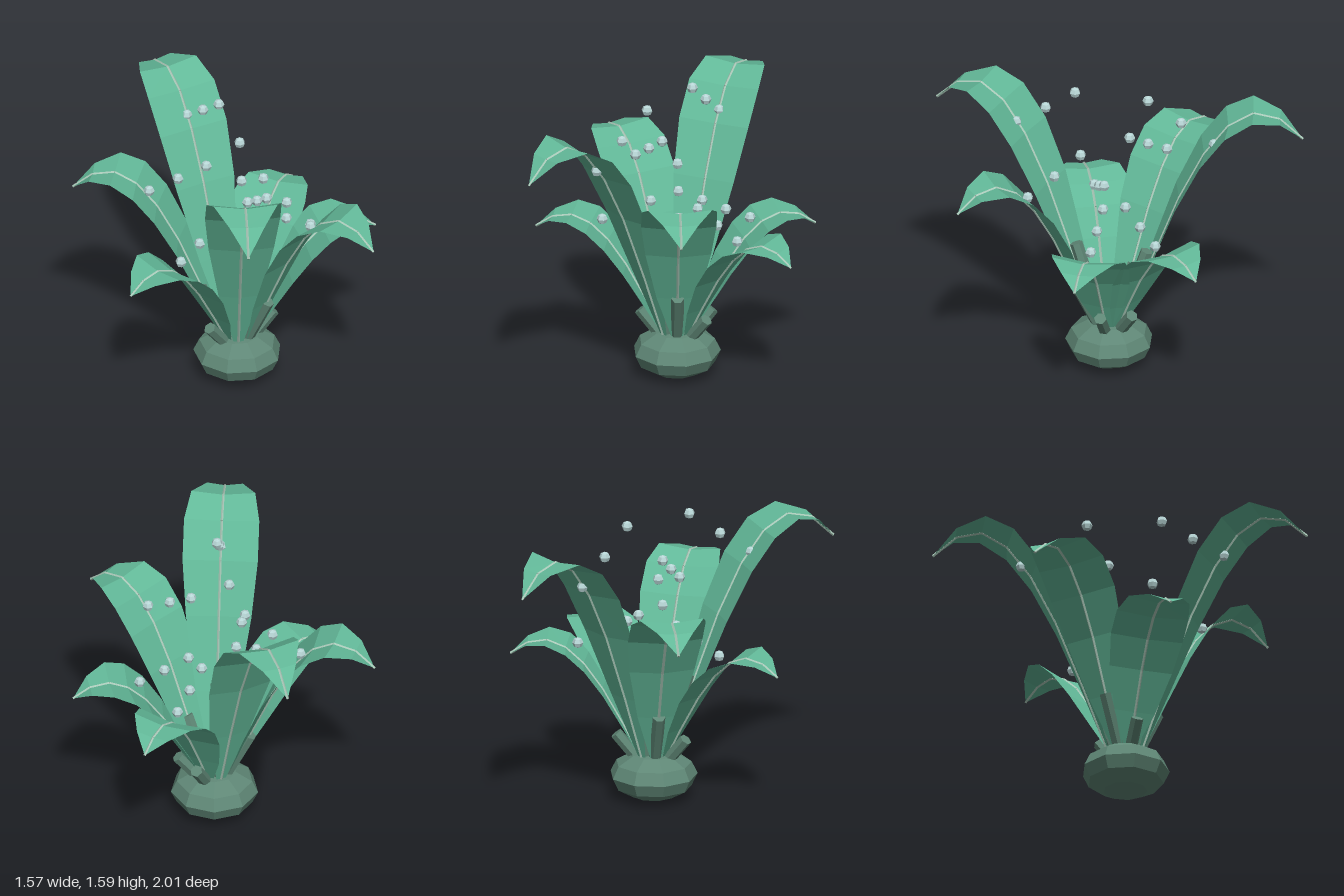
import * as THREE from 'three';

const flat = (name, color, side = THREE.FrontSide) => {
  const m = new THREE.MeshStandardMaterial({ color, side, flatShading: true });
  m.name = name;
  return m;
};

// Leaf rows: share of reach, share of height, half width
const ROWS = [
  [0.075, 0, 0.015], [0.215, 0.31, 0.112], [0.36, 0.605, 0.174], [0.49, 0.81, 0.2],
  [0.615, 0.94, 0.2], [0.745, 1, 0.17], [0.88, 0.975, 0.095], [1, 0.885, 0],
];

// Three leaf sizes, repeated around the bulb
const SIZES = [
  { reach: 0.76, top: 0.865, stub: 0.357, beads: [[0.14, 0.98], [0.27, 0.915], [0.402, 0.855]] },
  { reach: 0.885, top: 1.18, stub: 0.51, beads: [[0.168, 1.27], [0.32, 1.175], [0.475, 1.083]] },
  { reach: 1.026, top: 1.492, stub: 0.665, beads: [[0.205, 1.56], [0.38, 1.43], [0.555, 1.305]] },
];
const BASE_Y = 0.2;

function add(parent, name, geometry, material) {
  const mesh = new THREE.Mesh(geometry, material);
  mesh.name = name;
  parent.add(mesh);
  return mesh;
}

// Blade folded along its midrib, with both edges raised a little
function bladeGeometry(path) {
  const pos = [], index = [];
  path.forEach((p, i) => {
    const a = path[Math.max(i - 1, 0)], b = path[Math.min(i + 1, path.length - 1)];
    const t = b.clone().sub(a).normalize();
    const w = ROWS[i][2], lift = w * 0.12;
    const ex = p.x - t.y * lift, ey = p.y + t.x * lift;
    pos.push(ex, ey, -w, p.x, p.y, 0, ex, ey, w);
    if (i === path.length - 1) return;
    for (const k of [3 * i, 3 * i + 1]) index.push(k, k + 1, k + 4, k, k + 4, k + 3);
  });
  const g = new THREE.BufferGeometry();
  g.setAttribute('position', new THREE.Float32BufferAttribute(pos, 3));
  g.setIndex(index);
  g.computeVertexNormals();
  return g;
}

// Straight rod between two points
function rod(parent, name, from, to, radius, sides, material) {
  const d = to.clone().sub(from);
  const mesh = add(parent, name, new THREE.CylinderGeometry(radius, radius, d.length(), sides), material);
  mesh.position.copy(from).addScaledVector(d, 0.5);
  mesh.quaternion.setFromUnitVectors(new THREE.Vector3(0, 1, 0), d.normalize());
}

export function createModel() {
  const leafMat = flat('leaf green', 0x62b898, THREE.DoubleSide);
  const bulbMat = flat('bulb green', 0x5f8776);
  const ribMat = flat('rib pale green', 0xa9c8b8);
  const beadMat = flat('bead pale blue', 0xb8d6d6);

  const model = new THREE.Group();
  model.name = 'plant';
  const plant = new THREE.Group();
  plant.name = 'plantBody';
  plant.position.x = 0.022;
  model.add(plant);

  // Squat faceted bulb
  const bulb = add(plant, 'bulb', new THREE.SphereGeometry(1, 9, 6), bulbMat);
  bulb.scale.set(0.235, 0.132, 0.235);
  bulb.position.y = 0.133;
  bulb.rotation.y = Math.PI;

  const beadGeo = new THREE.SphereGeometry(0.03, 6, 4);

  // Seven leaves, each with rib, stub and floating beads
  for (let i = 0; i < 7; i++) {
    const size = SIZES[i % 3];
    const leaf = new THREE.Group();
    leaf.name = 'leaf' + (i + 1);
    leaf.rotation.y = -i * Math.PI * 2 / 7;
    plant.add(leaf);

    const path = ROWS.map(([r, h]) =>
      new THREE.Vector3(r * size.reach, BASE_Y + h * (size.top - BASE_Y), 0));
    add(leaf, 'blade', bladeGeometry(path), leafMat);
    for (let k = 1; k < path.length; k++) rod(leaf, 'midrib', path[k - 1], path[k], 0.0075, 4, ribMat);
    rod(leaf, 'stub', new THREE.Vector3(0.01, 0.13, 0),
      new THREE.Vector3(0.198, size.stub, 0), 0.034, 6, bulbMat);

    for (const [r, y] of size.beads) add(leaf, 'bead', beadGeo, beadMat).position.set(r, y, 0);
  }
  return model;
}
